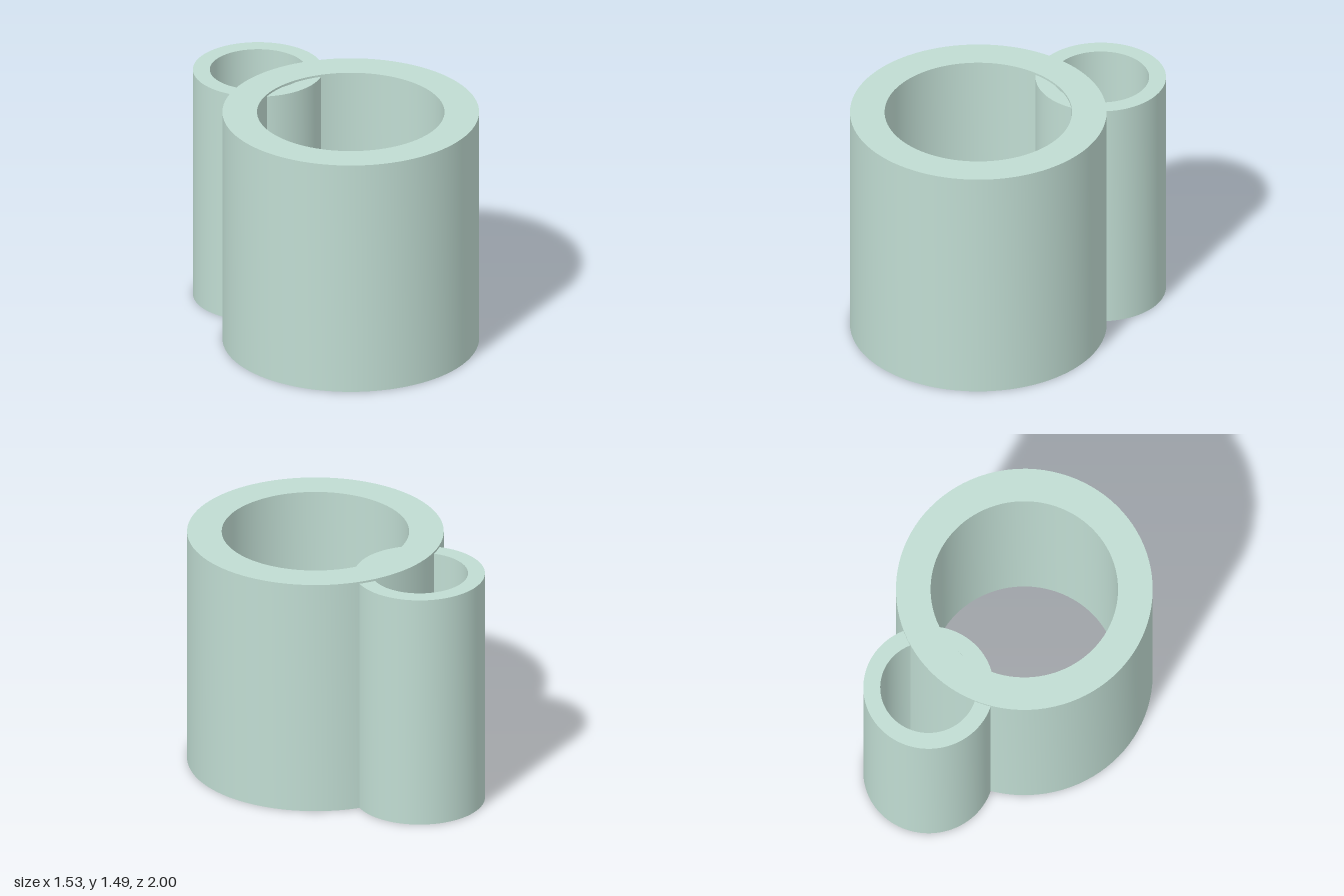
import * as THREE from 'three';
import { toCreasedNormals } from 'three/addons/utils/BufferGeometryUtils.js';

// Upright open pipe standing on y = 0
function pipe(name, outer, inner, height, z, material) {
  const ring = new THREE.Shape().absarc(0, 0, outer, 0, Math.PI * 2, false);
  ring.holes.push(new THREE.Path().absarc(0, 0, inner, 0, Math.PI * 2, true));
  const geometry = new THREE.ExtrudeGeometry(ring, {
    depth: height, bevelEnabled: false, curveSegments: 48,
  });
  geometry.rotateX(-Math.PI / 2);
  const mesh = new THREE.Mesh(toCreasedNormals(geometry, Math.PI / 6), material);
  mesh.name = name;
  mesh.position.z = z;
  return mesh;
}

export function createModel() {
  const group = new THREE.Group();
  group.name = 'joinedPipes';
  const material = new THREE.MeshStandardMaterial({ color: 0xc0dcd2 });

  // Large pipe at the front, slimmer and slightly shorter pipe cutting into its back wall
  group.add(pipe('largePipe', 0.767, 0.56, 1.488, 0.233, material));
  group.add(pipe('smallPipe', 0.39, 0.289, 1.475, -0.61, material));
  return group;
}
